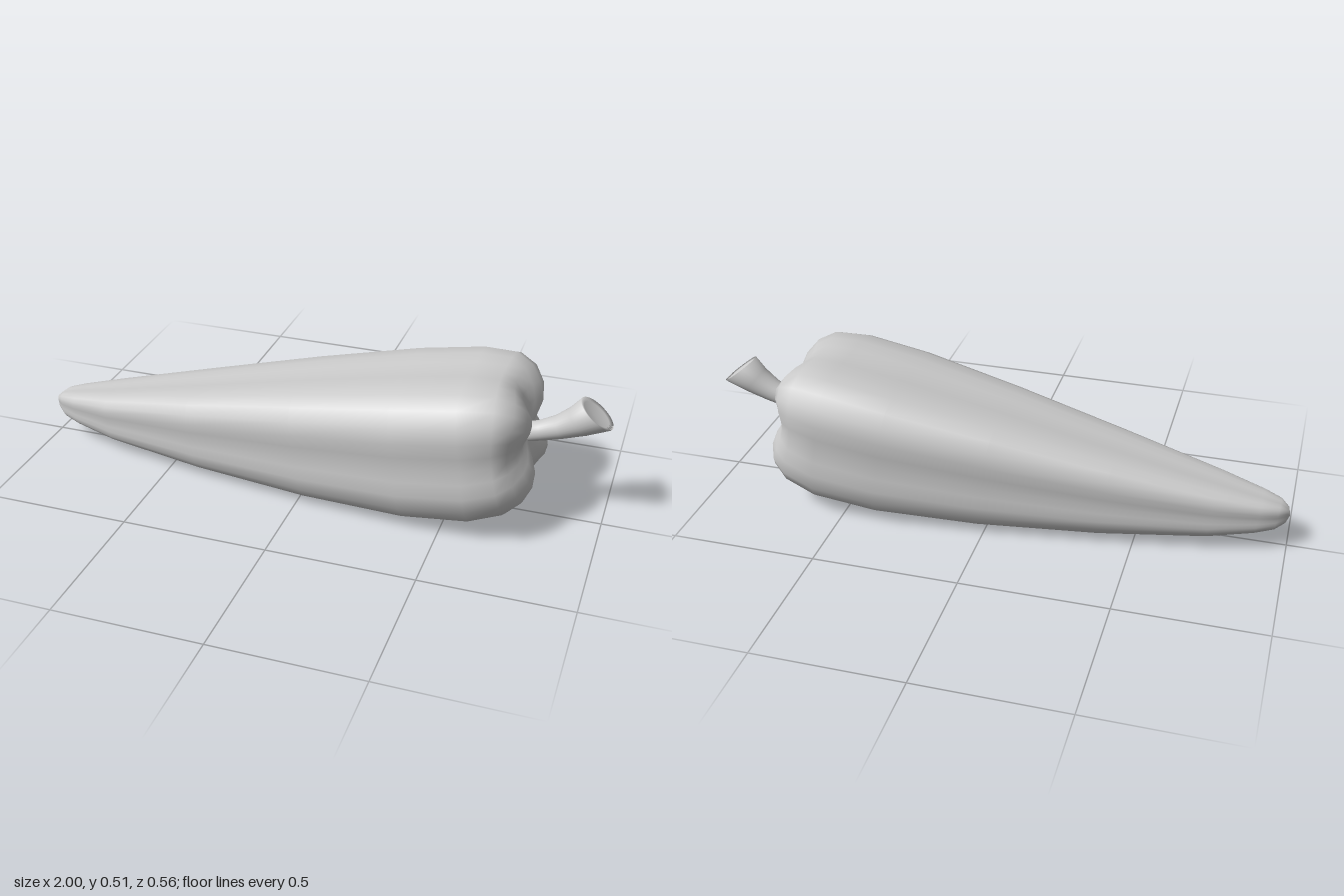
import * as THREE from 'three';

const SIDES = 32;
const material = new THREE.MeshStandardMaterial({ color: 0xcccccc });

// Skin closed rings (ordered along +x) and close both ends with a single point.
function loft(name, start, rings, end) {
  const positions = [...start];
  rings.forEach((ring) => ring.forEach((p) => positions.push(...p)));
  positions.push(...end);
  const last = positions.length / 3 - 1;
  const at = (i, j) => 1 + i * SIDES + (j % SIDES);
  const index = [];
  for (let j = 0; j < SIDES; j++) {
    index.push(0, at(0, j + 1), at(0, j));
    for (let i = 0; i < rings.length - 1; i++) {
      const a = at(i, j), b = at(i, j + 1), c = at(i + 1, j), d = at(i + 1, j + 1);
      index.push(a, b, c, b, d, c);
    }
    index.push(at(rings.length - 1, j), at(rings.length - 1, j + 1), last);
  }
  const geometry = new THREE.BufferGeometry();
  geometry.setAttribute('position', new THREE.Float32BufferAttribute(positions, 3));
  geometry.setIndex(index);
  geometry.computeVertexNormals();
  const mesh = new THREE.Mesh(geometry, material);
  mesh.name = name;
  return mesh;
}

const around = (fn) =>
  Array.from({ length: SIDES }, (_, j) => fn((j / SIDES) * Math.PI * 2));

// Four-lobed fruit: each section is centre x, centre y, half height, half width, groove depth.
function pepperBody() {
  const tilt = 0.14;
  const sections = [
    [-0.99, 0.12, 0.025, 0.022, 0],
    [-0.96, 0.12, 0.045, 0.048, 0],
    [-0.9, 0.121, 0.06, 0.072, 0],
    [-0.75, 0.126, 0.089, 0.112, 0],
    [-0.4, 0.154, 0.142, 0.176, 0],
    [0, 0.195, 0.195, 0.235, 0],
    [0.35, 0.238, 0.228, 0.277, 0],
    [0.57, 0.271, 0.234, 0.281, 0],
    [0.68, 0.293, 0.215, 0.263, 0.015],
    [0.735, 0.3, 0.182, 0.226, 0.03],
    [0.765, 0.3, 0.14, 0.172, 0.04],
    [0.77, 0.298, 0.1, 0.12, 0.035],
    [0.755, 0.295, 0.06, 0.07, 0.022],
    [0.737, 0.293, 0.025, 0.028, 0.005],
  ];
  const rings = sections.map(([x, y, ry, rz, groove]) =>
    around((t) => {
      const wave = Math.cos(4 * t);
      const r = 1.08 - 0.115 * wave;
      const dy = r * ry * Math.cos(t);
      return [x - tilt * dy - (groove * (1 + wave)) / 2, y + dy, r * rz * Math.sin(t)];
    }));
  return loft('pepperBody', [-1, 0.12, 0], rings, [0.73, 0.292, 0]);
}

// Flared, upward-bent stem with a slightly dished cut end:
// each section is centre x, centre y, lean in degrees, half height, half width.
function stem() {
  const sections = [
    [0.72, 0.296, 10, 0.033, 0.03],
    [0.77, 0.31, 14, 0.034, 0.034],
    [0.83, 0.334, 25, 0.04, 0.042],
    [0.89, 0.366, 40, 0.053, 0.052],
    [0.945, 0.403, 52, 0.07, 0.063],
    [0.943, 0.4, 52, 0.054, 0.049],
  ];
  const rings = sections.map(([x, y, lean, ry, rz]) => {
    const a = THREE.MathUtils.degToRad(lean);
    return around((t) => {
      const h = ry * Math.cos(t);
      return [x - h * Math.sin(a), y + h * Math.cos(a), -0.01 + rz * Math.sin(t)];
    });
  });
  return loft('stem', [0.715, 0.295, -0.01], rings, [0.938, 0.394, -0.01]);
}

export function createModel() {
  const group = new THREE.Group();
  group.name = 'pepper';
  group.add(pepperBody(), stem());
  return group;
}
